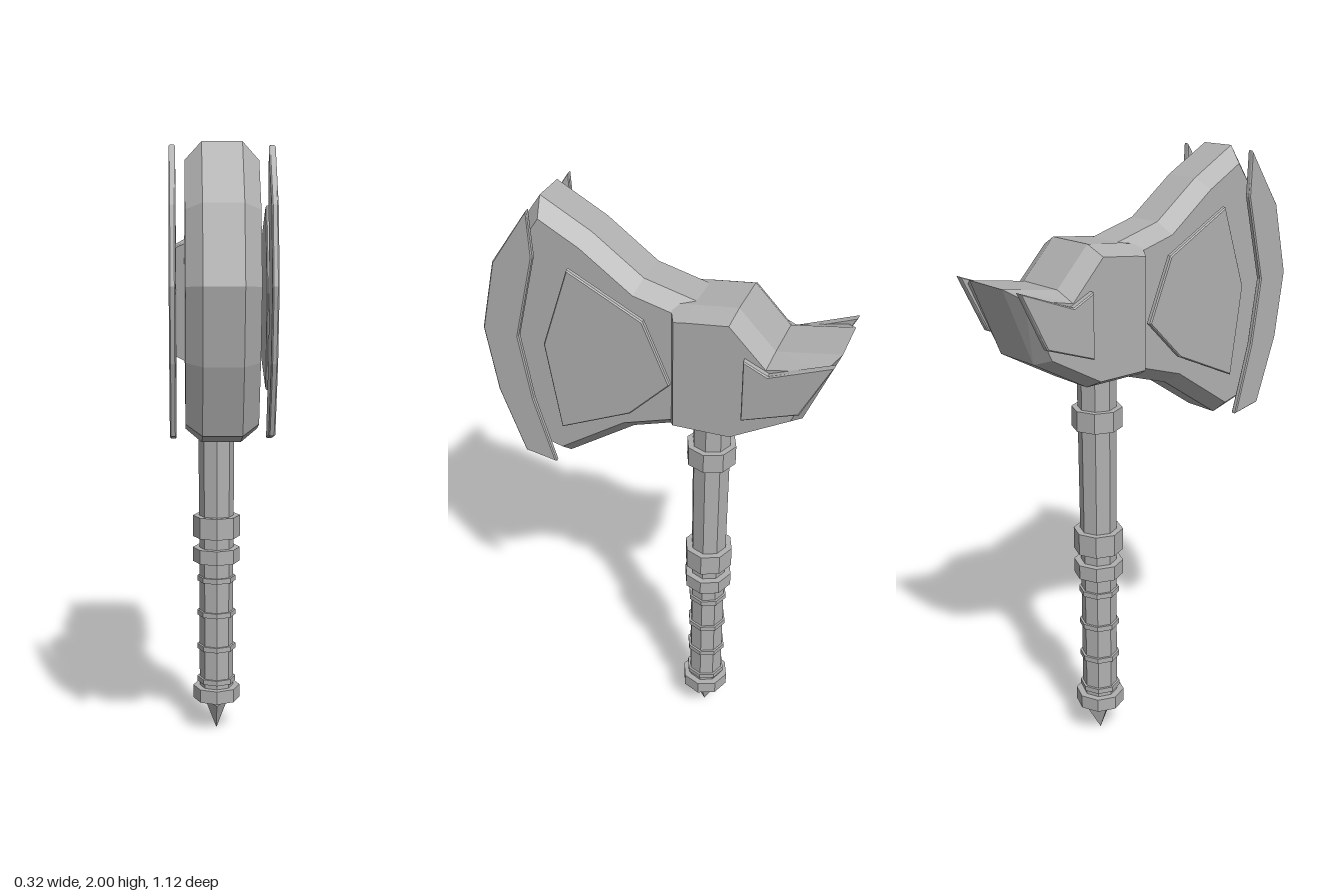
import * as THREE from 'three';

const HANDLE_Z = -0.153;

export function createModel() {
  const model = new THREE.Group();
  model.name = 'battleAxe';
  const steel = new THREE.MeshStandardMaterial({ color: 0xb0b0b0 });
  steel.name = 'grey steel';

  const add = (geometry, name) => {
    const mesh = new THREE.Mesh(geometry, steel);
    mesh.name = name;
    model.add(mesh);
    return mesh;
  };

  // Side profile of [z, y] points, extruded across x from centre x, bevelled inwards
  const slab = (points, name, x, halfWidth, bevelDepth, inset) => {
    const shape = new THREE.Shape(points.map(([z, y]) => new THREE.Vector2(z, y)));
    const depth = 2 * (halfWidth - bevelDepth);
    const geometry = new THREE.ExtrudeGeometry(shape, {
      depth, bevelEnabled: true, bevelSegments: 1,
      bevelThickness: bevelDepth, bevelSize: inset, bevelOffset: -inset,
    });
    geometry.translate(0, 0, -depth / 2).rotateY(-Math.PI / 2).translate(x, 0, 0);
    return add(geometry, name);
  };

  // Eight-sided sections along the handle
  const section = (name, y0, y1, r0, r1 = r0) => {
    let geometry = new THREE.CylinderGeometry(r1, r0, y1 - y0, 8);
    geometry = geometry.toNonIndexed();
    geometry.computeVertexNormals();
    geometry.translate(0, (y0 + y1) / 2, HANDLE_Z);
    return add(geometry, name);
  };

  // Blade body
  slab([
    [0.37, 2.0], [0.21, 1.91], [0.05, 1.79], [-0.115, 1.745], [-0.13, 1.33],
    [0.09, 1.26], [0.32, 1.107], [0.44, 1.14], [0.515, 1.35], [0.56, 1.58], [0.5, 1.815],
  ], 'bladeBody', 0, 0.11, 0.05, 0.04);

  // Hammer block with its swept rear point
  slab([
    [-0.04, 1.735], [-0.11, 1.745], [-0.25, 1.76], [-0.365, 1.64], [-0.56, 1.67],
    [-0.46, 1.43], [-0.26, 1.32], [-0.04, 1.32],
  ], 'hammerBlock', 0, 0.142, 0.06, 0.03);

  // Raised plates on both cheeks
  const edge = [
    [0.37, 1.99], [0.495, 1.81], [0.548, 1.58], [0.515, 1.36],
    [0.437, 1.14], [0.33, 1.12], [0.395, 1.35], [0.43, 1.57], [0.362, 1.845],
  ];
  const cheek = [
    [0.255, 1.825], [0.02, 1.7], [-0.065, 1.5], [0.065, 1.37], [0.3, 1.265], [0.345, 1.56],
  ];
  const rear = [
    [-0.29, 1.635], [-0.365, 1.6], [-0.555, 1.67], [-0.465, 1.49], [-0.29, 1.43],
  ];
  for (const [side, s] of [['left', 1], ['right', -1]]) {
    slab(edge, side + 'EdgePlate', s * 0.147, 0.01, 0.004, 0.004);
    slab(cheek, side + 'CheekPlate', s * 0.147, 0.01, 0.004, 0.004);
    slab(rear, side + 'RearPlate', s * 0.15, 0.012, 0.004, 0.004);
  }

  // Handle shaft and grip
  section('upperShaft', 0.75, 1.4, 0.061, 0.064);
  section('grip', 0.11, 0.75, 0.06);

  // Wide collars
  for (const [y0, y1] of [[0.115, 0.162], [0.62, 0.67], [0.71, 0.785], [1.147, 1.215]]) {
    section('collar', y0, y1, 0.083);
  }
  // Thin grip rings
  for (const y of [0.187, 0.308, 0.433, 0.558]) {
    section('gripRing', y - 0.009, y + 0.009, 0.068);
  }

  // Flattened four-sided pommel spike
  let spike = new THREE.ConeGeometry(1, 0.1, 4).toNonIndexed();
  spike.rotateX(Math.PI).scale(0.038, 1, 0.057);
  spike.computeVertexNormals();
  spike.translate(0, 0.05, HANDLE_Z);
  add(spike, 'pommelSpike');
  section('pommelBase', 0.1, 0.12, 0.037, 0.055);

  return model;
}
